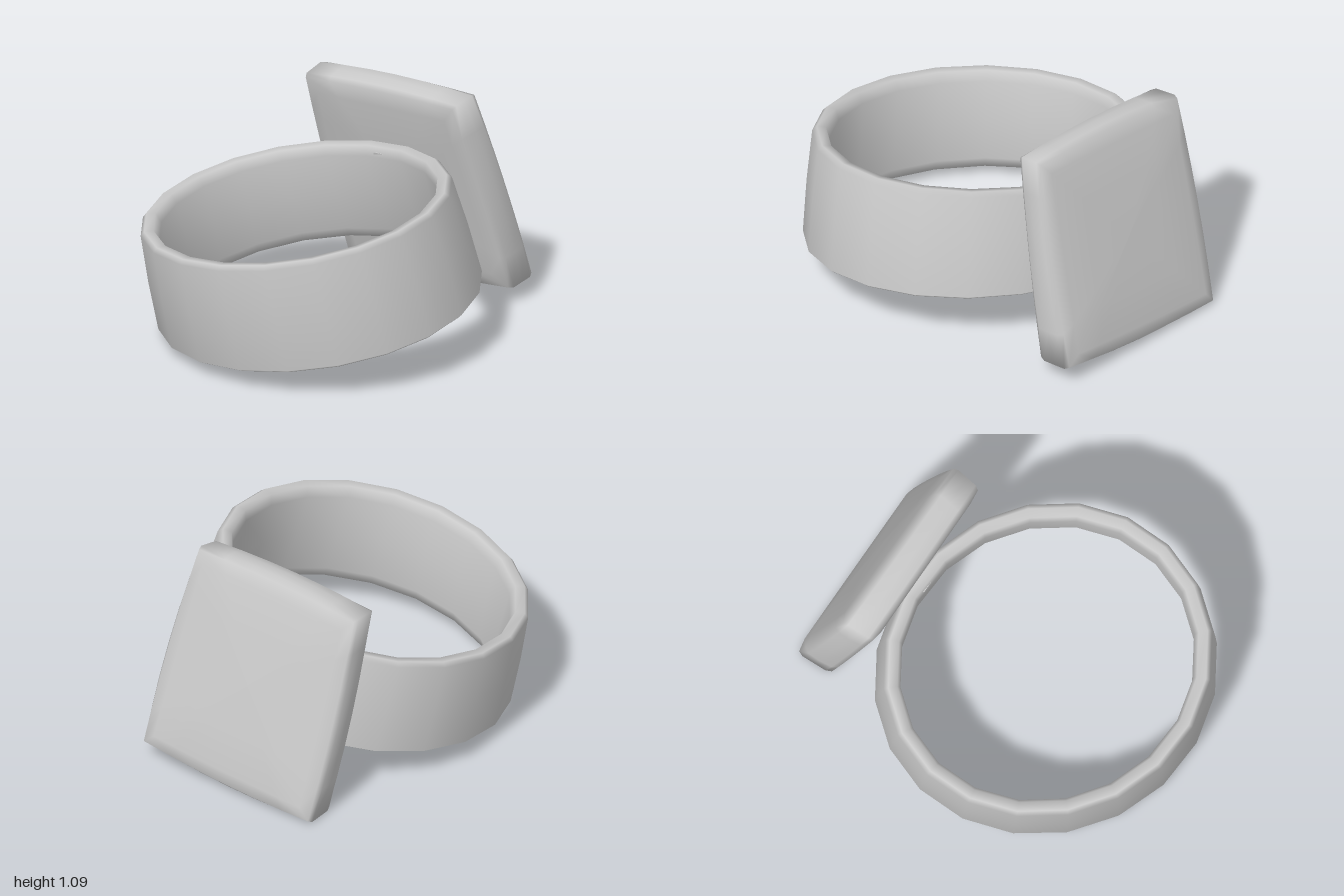
import * as THREE from 'three';

const V = (x, y, z) => new THREE.Vector3(x, y, z);

// Smooth skin over rows of points; every row is a closed loop.
function skin(rows, closeRows) {
  const n = rows[0].length, m = rows.length, index = [];
  for (let i = 0; i < (closeRows ? m : m - 1); i++) {
    const k = (i + 1) % m;
    for (let j = 0; j < n; j++) {
      const l = (j + 1) % n;
      index.push(i * n + j, k * n + j, k * n + l, i * n + j, k * n + l, i * n + l);
    }
  }
  const g = new THREE.BufferGeometry().setFromPoints(rows.flat());
  g.setIndex(index);
  g.computeVertexNormals();
  return g;
}

// Leaning finger band: a strip profile, thickest inside, swept round 20 sides.
function bandGeometry() {
  const bottom = V(-0.15, 0.195, 0.07), top = V(-0.26, 0.695, 0.025);
  // [height fraction, inset from the outer wall]
  const profile = [[0.01, 0], [0.5, -0.005], [0.97, 0], [1.01, 0.02], [1, 0.065],
    [0.9, 0.085], [0.5, 0.1], [0.1, 0.085], [0, 0.065], [-0.015, 0.02]];
  const rows = profile.map(([f, inset]) => {
    const c = bottom.clone().lerp(top, f), row = [];
    const rx = 0.77 - 0.03 * f - inset, rz = 0.84 - 0.035 * f - inset;
    const tilt = 0.035 + 0.035 * f;
    for (let j = 0; j < 20; j++) {
      const a = j / 20 * Math.PI * 2, x = rx * Math.cos(a), z = rz * Math.sin(a);
      row.push(V(c.x + x, c.y + 0.17 * x + tilt * z, c.z + z));
    }
    return row;
  });
  return skin(rows, true);
}

// Cushion-shaped square plate: bowed square loops blended between
// its inner and outer corners.
function plateGeometry() {
  // corner order: bottom back, bottom front, top back, top front
  const inner = [V(0.37, 0.025, -0.82), V(0.84, 0.1, 0.045), V(0.1, 1.025, -0.73), V(0.54, 1.075, 0.06)];
  const outer = [V(0.53, 0.035, -0.915), V(1, 0.12, -0.05), V(0.24, 1.05, -0.82), V(0.68, 1.11, 0)];
  const steps = 6, outline = [];
  for (let q = 0; q < 4; q++) {
    for (let k = 0; k < steps; k++) {
      const s = -1 + 2 * k / steps, c = [1, 0, -1, 0][q], d = [0, 1, 0, -1][q];
      outline.push({ u: c - d * s, v: d + c * s, c, d, bow: 1 - s * s });
    }
  }
  // [depth from inner to outer side, scale of the outline, bow of its edges]
  const layers = [[-0.15, 0, 0], [-0.13, 0.5, 0], [-0.08, 0.85, 0.01], [0, 0.99, 0.02],
    [0.15, 1.01, 0.04], [0.5, 1.01, 0.06], [0.85, 1.01, 0.05], [1, 0.99, 0.03],
    [1.1, 0.88, 0.01], [1.15, 0.5, 0], [1.17, 0, 0]];
  const rows = layers.map(([t, scale, bulge]) => {
    const [bb, bf, tb, tf] = inner.map((p, i) => p.clone().lerp(outer[i], t));
    return outline.map(({ u, v, c, d, bow }) => {
      const a = (1 + u * scale + c * bow * bulge) / 2;
      const b = (1 + v * scale + d * bow * bulge) / 2;
      return bb.clone().lerp(bf, a).lerp(tb.clone().lerp(tf, a), b);
    });
  });
  return skin(rows, false);
}

export function createModel() {
  const silver = new THREE.MeshStandardMaterial({ color: 0xc8c8c8 });
  silver.name = 'silver';
  const model = new THREE.Group();
  model.name = 'signetRing';
  const add = (name, geometry) => {
    const mesh = new THREE.Mesh(geometry, silver);
    mesh.name = name;
    model.add(mesh);
    return mesh;
  };

  add('band', bandGeometry());
  add('squarePlate', plateGeometry());

  // Small seat joining the band to the back of the plate
  const seat = add('plateSeat', new THREE.BoxGeometry(0.12, 0.4, 0.1));
  const along = V(-0.47, -0.06, -0.86).normalize();
  const out = along.clone().cross(V(-0.27, 1, 0.03)).normalize();
  const up = out.clone().cross(along);
  seat.quaternion.setFromRotationMatrix(new THREE.Matrix4().makeBasis(along, up, out));
  seat.position.set(0.42, 0.56, -0.34);

  // Stand on the ground and centre
  const box = new THREE.Box3().setFromObject(model, true), c = box.getCenter(V(0, 0, 0));
  model.children.forEach((m) => m.position.sub(V(c.x, box.min.y, c.z)));
  return model;
}
